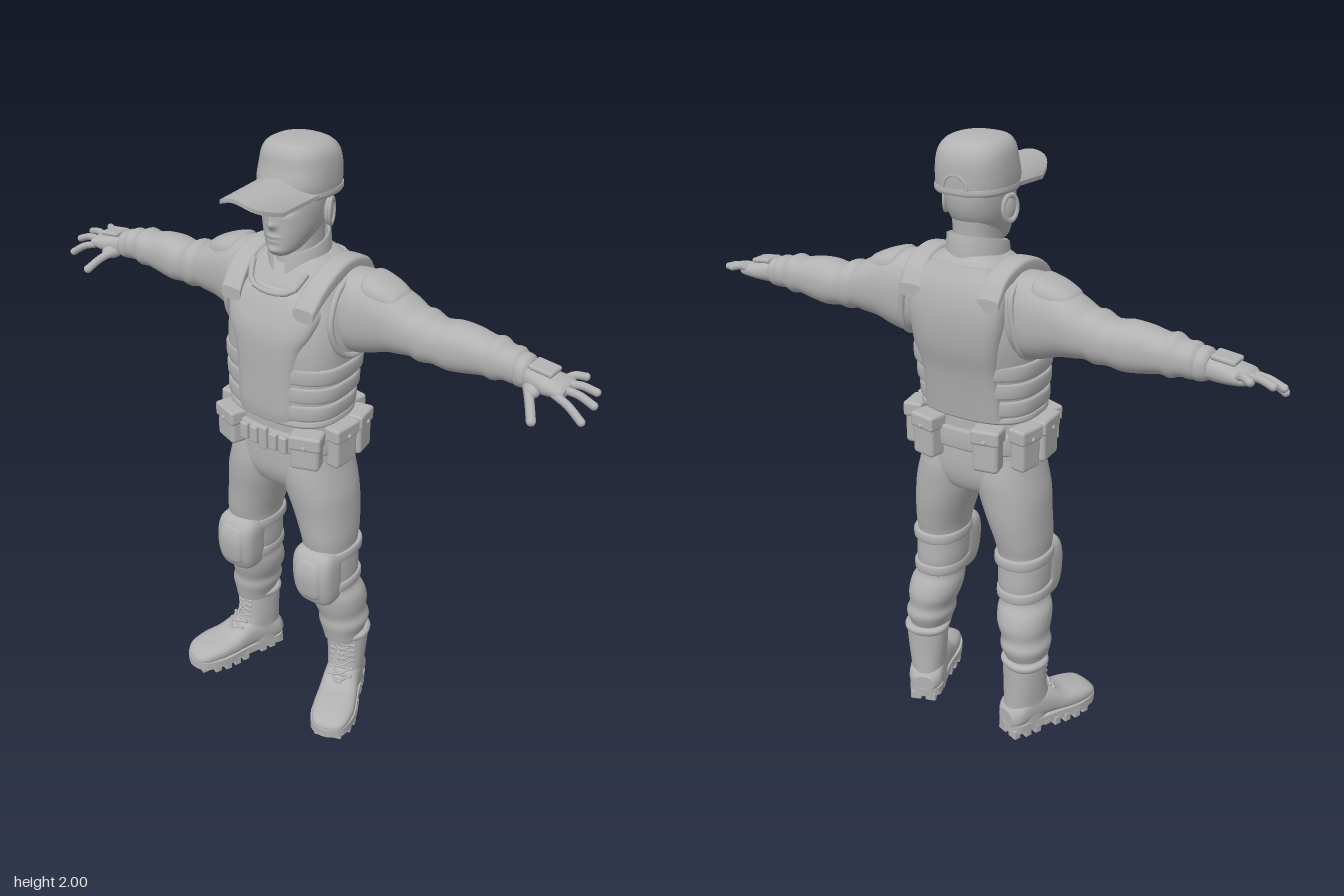
import * as THREE from 'three';
import { RoundedBoxGeometry } from 'three/addons/geometries/RoundedBoxGeometry.js';

const V = (x, y, z) => new THREE.Vector3(x, y, z);

export function createModel() {
  const grey = new THREE.MeshStandardMaterial({ color: 0xb2b2b2 });
  grey.name = 'plain grey';
  const model = new THREE.Group();
  model.name = 'figure';
  const side = new THREE.Group(); // everything on the left (+x) side, mirrored later
  side.name = 'leftSide';

  function add(parent, name, geo, x = 0, y = 0, z = 0, ry = 0) {
    const m = new THREE.Mesh(geo, grey);
    m.name = name;
    m.position.set(x, y, z);
    m.rotation.y = ry;
    parent.add(m);
    return m;
  }

  // Skin superellipse sections along an axis. Row: [t, centre, halfWidth, high, low].
  // Axis y: width in x, high/low in z. Axis x: width in z, high/low in y. Axis z: width in x, high/low in y.
  function loft(axis, rows, { p = 2.3, n = 36, steps = 4, post } = {}) {
    const pos = [], idx = [], total = (rows.length - 1) * steps + 1;
    const place = (t, u, v) => {
      const q = axis === 'y' ? V(u, t, v) : axis === 'x' ? V(t, v, u) : V(u, v, t);
      if (post) post(q);
      pos.push(q.x, q.y, q.z);
    };
    const tri = (a, b, c) => (axis === 'z' ? idx.push(a, c, b) : idx.push(a, b, c));
    const at = (i) => {
      const k = Math.min(Math.floor(i / steps), rows.length - 2), f = i / steps - k;
      const r = (d) => rows[Math.max(0, Math.min(rows.length - 1, k + d))];
      return rows[0].map((_, c) => {
        const [a, b, d, e] = [r(-1)[c], r(0)[c], r(1)[c], r(2)[c]];
        return b + 0.5 * f * (d - a + f * (2 * a - 5 * b + 4 * d - e + f * (3 * (b - d) + e - a)));
      });
    };
    const bend = (s) => Math.sign(s) * Math.abs(s) ** (2 / p);
    const ring = ([t, c, h, hi, lo]) => {
      for (let j = 0; j < n; j++) {
        const a = (j / n) * Math.PI * 2;
        place(t, c + h * bend(Math.cos(a)), (hi + lo) / 2 + ((hi - lo) / 2) * bend(Math.sin(a)));
      }
    };
    for (let i = 0; i < total; i++) ring(at(i));
    for (let i = 0; i < total - 1; i++) for (let j = 0; j < n; j++) {
      const a = i * n + j, b = i * n + (j + 1) % n;
      tri(a, a + n, b);
      tri(b, a + n, b + n);
    }
    [rows[0], rows[rows.length - 1]].forEach((r, end) => { // end caps with crisp rims
      const s = pos.length / 3;
      ring(r);
      place(r[0], r[1], (r[3] + r[4]) / 2);
      for (let j = 0; j < n; j++) {
        const k = s + (j + 1) % n;
        if (end) tri(s + n, k, s + j); else tri(s + n, s + j, k);
      }
    });
    const g = new THREE.BufferGeometry();
    g.setAttribute('position', new THREE.Float32BufferAttribute(pos, 3));
    g.setIndex(idx);
    g.computeVertexNormals();
    return g;
  }
  const tube = (pts, r, closed = false) =>
    new THREE.TubeGeometry(new THREE.CatmullRomCurve3(pts, closed), closed ? 40 : 10, r, 8, closed);
  const ball = (x, y, z) => new THREE.SphereGeometry(1, 12, 8).scale(x, y, z);
  const box = (w, h, d, r = 0.01) => new RoundedBoxGeometry(w, h, d, 2, r);

  // Head, with soft bumps shaping the face: [x, y, widthX, widthY, amount]
  const bumps = [[0.038, 1.815, 0.019, 0.011, -0.013], [0, 1.79, 0.011, 0.025, 0.012], [0, 1.768, 0.014, 0.011, 0.015],
    [0.03, 1.838, 0.028, 0.008, 0.006], [0, 1.732, 0.024, 0.005, 0.006], [0, 1.717, 0.02, 0.005, 0.005], [0, 1.69, 0.022, 0.01, 0.007]];
  add(model, 'head', loft('y', [[1.672, 0, 0.03, 0.055, -0.02], [1.69, 0, 0.05, 0.064, -0.06], [1.73, 0, 0.072, 0.066, -0.12],
    [1.77, 0, 0.086, 0.066, -0.155], [1.82, 0, 0.094, 0.066, -0.17], [1.88, 0, 0.096, 0.05, -0.17]], {
    p: 2.2, n: 88, steps: 9,
    post: (v) => {
      if (v.z > 0) for (const [x, y, sx, sy, k] of bumps)
        v.z += k * Math.exp(-(((Math.abs(v.x) - x) / sx) ** 2) - ((v.y - y) / sy) ** 2);
    },
  }));
  add(side, 'eye', ball(0.015, 0.008, 0.01), 0.038, 1.815, 0.045);
  add(side, 'ear', ball(0.013, 0.042, 0.026), 0.103, 1.795, -0.066, 0.35);
  add(side, 'earRim', new THREE.TorusGeometry(0.026, 0.006, 8, 24).scale(1, 1.45, 1), 0.112, 1.797, -0.068, Math.PI / 2 + 0.35);
  add(model, 'neck', loft('y', [[1.58, 0, 0.075, 0.02, -0.15], [1.66, 0, 0.066, 0.02, -0.145], [1.76, 0, 0.066, 0, -0.15]]));

  // Cap: crown, band, peak and rear strap
  add(model, 'capCrown', loft('y', [[1.845, 0, 0.112, 0.05, -0.187], [1.88, 0, 0.115, 0.062, -0.19], [1.93, 0, 0.112, 0.05, -0.188],
    [1.965, 0, 0.104, 0.043, -0.175], [1.988, 0, 0.085, 0.028, -0.148], [1.997, 0, 0.055, 0, -0.115], [2, 0, 0.012, -0.04, -0.07]], { p: 2.4, n: 56 }));
  add(model, 'capBand', loft('y', [[1.842, 0, 0.113, 0.052, -0.19], [1.85, 0, 0.117, 0.055, -0.193], [1.862, 0, 0.116, 0.056, -0.192]], { p: 2.4 }));
  const peak = new THREE.BoxGeometry(2, 0.012, 1, 24, 1, 16), pp = peak.attributes.position;
  for (let i = 0; i < pp.count; i++) {
    const u = pp.getX(i), v = pp.getZ(i) + 0.5;
    pp.setXYZ(i, u * (0.108 - 0.012 * v), 1.902 - 0.012 * v - 0.048 * u * u + pp.getY(i), -0.01 + v * (0.25 - 0.1 * u ** 4));
  }
  peak.computeVertexNormals();
  add(model, 'capPeak', peak);
  add(model, 'capRearArch', new THREE.TorusGeometry(0.04, 0.005, 8, 24, Math.PI), 0, 1.86, -0.186);

  // Shirt collar, open at the front and sloping forward
  const collar = new THREE.LatheGeometry([[0.1, 1.57], [0.094, 1.64], [0.09, 1.695], [0.082, 1.7], [0.078, 1.69], [0.08, 1.57], [0.1, 1.57]]
    .map(([x, y]) => new THREE.Vector2(x, y)), 48, 0.22, Math.PI * 2 - 0.44);
  const cp = collar.attributes.position;
  for (let i = 0; i < cp.count; i++) cp.setXYZ(i, cp.getX(i), cp.getY(i) - 0.32 * cp.getZ(i), cp.getZ(i) * 1.12 - 0.065);
  collar.computeVertexNormals();
  add(model, 'collar', collar);

  // Torso and body armour
  const body = [[1.15, 0, 0.19, 0.11, -0.172], [1.2, 0, 0.194, 0.116, -0.176], [1.3, 0, 0.203, 0.118, -0.195], [1.4, 0, 0.208, 0.12, -0.222],
    [1.48, 0, 0.2, 0.108, -0.23], [1.55, 0, 0.188, 0.075, -0.222], [1.6, 0, 0.172, 0.045, -0.205], [1.64, 0, 0.125, 0.02, -0.185], [1.665, 0, 0.08, 0, -0.165]];
  add(model, 'torso', loft('y', body, { p: 2.7, n: 64 }));
  add(model, 'vestFrontPanel', loft('y', [[1.16, 0, 0.105, 0.126, 0.03], [1.2, 0, 0.108, 0.131, 0.03], [1.3, 0, 0.108, 0.132, 0.03], [1.4, 0, 0.125, 0.133, 0.02],
    [1.46, 0, 0.152, 0.126, 0], [1.52, 0, 0.162, 0.105, -0.02], [1.565, 0, 0.125, 0.082, -0.03], [1.58, 0, 0.09, 0.068, -0.03]], { p: 3, n: 56 }));
  add(model, 'vestNeckTrim', tube([V(-0.1, 1.63, 0.03), V(-0.075, 1.58, 0.073), V(0, 1.566, 0.086), V(0.075, 1.58, 0.073), V(0.1, 1.63, 0.03)], 0.009));
  add(model, 'vestBackPanel', loft('y', [[1.16, 0, 0.14, -0.08, -0.185], [1.3, 0, 0.135, -0.1, -0.208], [1.4, 0, 0.15, -0.1, -0.234],
    [1.5, 0, 0.165, -0.1, -0.241], [1.58, 0, 0.155, -0.1, -0.226], [1.64, 0, 0.1, -0.1, -0.195]], { p: 3.2, n: 56 }));
  [1.2, 1.262, 1.324].forEach((y) => {
    const h = 0.197 + (y - 1.2) * 0.09, b = -0.178 - (y - 1.2) * 0.17;
    add(model, 'vestSideBand', loft('y', [[y - 0.026, 0, h, 0.117, b], [y - 0.018, 0, h + 0.007, 0.121, b - 0.004],
      [y + 0.018, 0, h + 0.009, 0.121, b - 0.004], [y + 0.026, 0, h + 0.003, 0.118, b]], { p: 2.7, n: 56, steps: 2 }));
  });
  add(model, 'vestHem', loft('y', [[1.148, 0, 0.193, 0.116, -0.176], [1.155, 0, 0.199, 0.122, -0.183], [1.168, 0, 0.197, 0.12, -0.182]], { p: 2.7 }));
  add(side, 'shoulderStrap', loft('z', [[-0.228, 0.135, 0.036, 1.57, 1.53], [-0.185, 0.14, 0.036, 1.632, 1.59], [-0.1, 0.145, 0.036, 1.66, 1.61],
    [-0.02, 0.147, 0.036, 1.65, 1.6], [0.05, 0.143, 0.036, 1.61, 1.56], [0.1, 0.135, 0.036, 1.55, 1.51]], { p: 4 }));
  add(side, 'armholeTrim', tube([V(0.183, 1.62, -0.1), V(0.19, 1.58, 0.005), V(0.197, 1.49, 0.045), V(0.207, 1.4, 0.01), V(0.211, 1.365, -0.07),
    V(0.208, 1.4, -0.16), V(0.195, 1.5, -0.19), V(0.186, 1.58, -0.18)], 0.01, true));

  // Sleeve with soft folds, and a pad on the shoulder
  add(side, 'sleeve', loft('x', [[0.13, -0.09, 0.08, 1.615, 1.41], [0.2, -0.095, 0.098, 1.632, 1.372], [0.26, -0.1, 0.096, 1.625, 1.38], [0.32, -0.102, 0.088, 1.605, 1.4],
    [0.37, -0.104, 0.085, 1.582, 1.408], [0.41, -0.104, 0.077, 1.56, 1.412], [0.44, -0.104, 0.078, 1.56, 1.404], [0.48, -0.106, 0.07, 1.543, 1.408], [0.53, -0.108, 0.072, 1.55, 1.402],
    [0.59, -0.11, 0.066, 1.547, 1.41], [0.64, -0.11, 0.062, 1.536, 1.42], [0.67, -0.11, 0.062, 1.542, 1.415], [0.7, -0.11, 0.054, 1.526, 1.425], [0.73, -0.11, 0.055, 1.527, 1.424],
    [0.75, -0.108, 0.042, 1.508, 1.432]]));
  add(side, 'shoulderPad', loft('x', [[0.235, -0.1, 0.055, 1.63, 1.53], [0.25, -0.1, 0.072, 1.635, 1.52], [0.3, -0.1, 0.07, 1.62, 1.52],
    [0.345, -0.1, 0.055, 1.6, 1.52], [0.36, -0.1, 0.035, 1.585, 1.52]], { p: 2.6 }));

  // Gloved hand
  add(side, 'gloveCuff', loft('x', [[0.735, -0.107, 0.045, 1.512, 1.428], [0.745, -0.107, 0.052, 1.518, 1.422], [0.765, -0.105, 0.05, 1.515, 1.424], [0.775, -0.104, 0.042, 1.505, 1.43]]));
  add(side, 'palm', loft('x', [[0.76, -0.104, 0.04, 1.502, 1.432], [0.8, -0.1, 0.046, 1.497, 1.428], [0.84, -0.098, 0.053, 1.49, 1.43], [0.88, -0.1, 0.055, 1.48, 1.438], [0.895, -0.1, 0.044, 1.47, 1.445]]));
  add(side, 'glovePlate', box(0.075, 0.016, 0.066, 0.007), 0.815, 1.499, -0.1).rotation.z = -0.12;
  [[0.87, 1.453, -0.056, 0.965, 1.408, -0.037], [0.88, 1.46, -0.085, 0.975, 1.44, -0.085],
    [0.875, 1.462, -0.113, 0.96, 1.457, -0.13], [0.86, 1.463, -0.138, 0.908, 1.472, -0.168], [0.785, 1.447, -0.065, 0.845, 1.392, 0.015]].forEach(([x, y, z, X, Y, Z], i) => {
    const r = i === 4 ? 0.014 : 0.012, mid = V((x + X) / 2, (y + Y) / 2 + 0.008, (z + Z) / 2);
    const name = i === 4 ? 'thumb' : 'finger';
    add(side, name, tube([V(x, y, z), mid, V(X, Y, Z)], r));
    add(side, name + 'Tip', ball(r, r, r), X, Y, Z);
  });
  add(side, 'thumbBase', ball(0.035, 0.022, 0.024), 0.8, 1.442, -0.062, -0.8);

  // Belt with buckle pieces and flapped pouches
  add(model, 'belt', loft('y', [[1.045, 0, 0.2, 0.108, -0.182], [1.052, 0, 0.206, 0.114, -0.187], [1.105, 0, 0.205, 0.114, -0.187], [1.112, 0, 0.199, 0.108, -0.182]], { p: 2.6, n: 56, steps: 2 }));
  for (let i = -2; i <= 2; i++) add(model, 'buckle', box(0.03, i ? 0.058 : 0.08, 0.02, 0.006), i * 0.038, 1.08, 0.116);
  [[0.148, 0.09, 0.095, 0.06, 0.35], [0.208, -0.012, 0.1, 0.05, 1.5], [0.2, -0.115, 0.085, 0.055, 1.75], [0.11, -0.187, 0.085, 0.06, 2.95]].forEach(([x, z, w, d, ry], i) => {
    const h = i ? 0.14 : 0.118;
    add(side, 'pouch', box(w, h, d, 0.013), x, 1.075, z, ry);
    add(side, 'pouchFlap', box(w + 0.01, 0.05, d + 0.01, 0.01), x, 1.052 + h / 2, z, ry);
    add(side, 'pouchStud', ball(0.008, 0.008, 0.006), x + Math.sin(ry) * (d / 2 + 0.005), 1.04 + h / 2, z + Math.cos(ry) * (d / 2 + 0.005), ry);
  });

  // Trousers
  add(model, 'hips', loft('y', [[0.87, 0, 0.04, 0.03, -0.11], [0.89, 0, 0.13, 0.07, -0.15], [0.94, 0, 0.2, 0.094, -0.17], [1.0, 0, 0.196, 0.1, -0.174], [1.08, 0, 0.19, 0.1, -0.17], [1.16, 0, 0.185, 0.1, -0.168]], { p: 2.5, n: 56 }));
  add(side, 'trouserLeg', loft('y', [[0.27, 0.197, 0.062, 0.0, -0.145], [0.3, 0.195, 0.068, 0.006, -0.158], [0.34, 0.192, 0.08, 0.014, -0.172], [0.375, 0.187, 0.075, 0.014, -0.164], [0.42, 0.18, 0.085, 0.028, -0.168],
    [0.465, 0.174, 0.086, 0.038, -0.155], [0.505, 0.166, 0.074, 0.045, -0.136], [0.56, 0.162, 0.08, 0.056, -0.142], [0.62, 0.161, 0.081, 0.064, -0.14], [0.67, 0.158, 0.08, 0.068, -0.14], [0.72, 0.154, 0.086, 0.076, -0.15],
    [0.8, 0.138, 0.097, 0.083, -0.164], [0.88, 0.12, 0.108, 0.094, -0.17], [0.95, 0.105, 0.105, 0.098, -0.172], [1.02, 0.1, 0.09, 0.09, -0.16]], { p: 2.15 }));
  add(side, 'kneePad', loft('y', [[0.472, 0.166, 0.035, 0.06, -0.01], [0.485, 0.166, 0.062, 0.082, -0.02], [0.53, 0.164, 0.074, 0.1, -0.02], [0.6, 0.162, 0.077, 0.108, -0.02],
    [0.65, 0.16, 0.075, 0.1, -0.02], [0.675, 0.16, 0.062, 0.086, -0.01], [0.685, 0.16, 0.04, 0.07, 0]], { p: 3 }));
  add(side, 'kneePadShell', loft('y', [[0.51, 0.165, 0.035, 0.098, 0.03], [0.53, 0.164, 0.05, 0.109, 0.03], [0.6, 0.162, 0.054, 0.117, 0.03], [0.645, 0.161, 0.048, 0.108, 0.03], [0.66, 0.161, 0.035, 0.098, 0.03]], { p: 3.4 }));
  [[0.53, 0.165, 0.079, -0.143], [0.655, 0.16, 0.083, -0.146]].forEach(([y, c, h, b]) =>
    add(side, 'kneeStrap', loft('y', [[y - 0.018, c, h, 0.06, b], [y - 0.012, c, h + 0.005, 0.064, b - 0.005], [y + 0.012, c, h + 0.005, 0.064, b - 0.005], [y + 0.018, c, h, 0.06, b]], { steps: 2 })));

  // Laced boot, turned outward
  const boot = new THREE.Group();
  boot.name = 'boot';
  boot.position.set(0.2, 0, -0.09);
  boot.rotation.y = 0.36;
  side.add(boot);
  add(boot, 'bootShaft', loft('y', [[0.05, 0, 0.06, 0.08, -0.08], [0.12, 0, 0.06, 0.086, -0.078], [0.18, 0, 0.065, 0.07, -0.076], [0.25, 0, 0.07, 0.064, -0.076], [0.29, 0, 0.072, 0.064, -0.076]]));
  add(boot, 'bootCuff', loft('y', [[0.268, 0, 0.071, 0.064, -0.076], [0.276, 0, 0.077, 0.069, -0.081], [0.288, 0, 0.077, 0.069, -0.081], [0.296, 0, 0.068, 0.06, -0.072]]));
  add(boot, 'bootFoot', loft('z', [[-0.086, 0, 0.035, 0.1, 0.04], [-0.06, 0, 0.058, 0.13, 0.035], [0, 0, 0.061, 0.165, 0.035], [0.07, 0, 0.063, 0.155, 0.035], [0.13, 0.003, 0.069, 0.118, 0.035],
    [0.19, 0.005, 0.072, 0.104, 0.035], [0.245, 0.005, 0.062, 0.09, 0.035], [0.272, 0.004, 0.042, 0.07, 0.04], [0.28, 0.004, 0.015, 0.058, 0.045]], { p: 2.5 }));
  const outline = new THREE.Shape(new THREE.SplineCurve([[0, -0.092], [0.052, -0.07], [0.06, 0], [0.066, 0.08], [0.08, 0.18], [0.06, 0.26], [0.004, 0.287],
    [-0.054, 0.26], [-0.073, 0.18], [-0.06, 0.08], [-0.058, 0], [-0.052, -0.07], [0, -0.092]].map(([x, y]) => new THREE.Vector2(x, y))).getPoints(48));
  add(boot, 'sole', new THREE.ExtrudeGeometry(outline, { depth: 0.03, bevelEnabled: false }).rotateX(Math.PI / 2), 0, 0.052);
  for (let i = 0; i < 9; i++) {
    const z = -0.07 + i * 0.04, w = [0.045, 0.055, 0.058, 0.06, 0.066, 0.072, 0.076, 0.07, 0.048][i];
    for (const s of [-1, 1]) add(boot, 'tread', box(w * 0.85, i === 3 ? 0.02 : 0.034, 0.026, 0.004), 0.004 + s * w * 0.58, i === 3 ? 0.026 : 0.017, z);
  }
  const front = (y) => (y < 0.18 ? 0.073 + (0.18 - y) * 0.75 : 0.068);
  for (let i = 0; i < 7; i++) for (const s of [-1, 1]) {
    const y = 0.115 + i * 0.022;
    add(boot, 'lace', tube([V(-s * 0.034, y, front(y) - 0.01), V(0, y + 0.012, front(y + 0.012) + 0.005), V(s * 0.034, y + 0.024, front(y + 0.024) - 0.01)], 0.0045));
    add(boot, 'eyelet', ball(0.007, 0.007, 0.007), s * 0.037, y, front(y) - 0.013);
  }

  // Mirror the left side into a right side, reversing the face order
  const right = new THREE.Group();
  right.name = 'rightSide';
  side.updateMatrixWorld(true);
  side.traverse((o) => {
    if (!o.isMesh) return;
    const g = o.geometry.clone().applyMatrix4(o.matrixWorld).scale(-1, 1, 1);
    const ids = g.index ? Array.from(g.index.array) : Array.from({ length: g.attributes.position.count }, (_, i) => i);
    for (let i = 0; i < ids.length; i += 3) [ids[i + 1], ids[i + 2]] = [ids[i + 2], ids[i + 1]];
    g.setIndex(ids);
    add(right, o.name, g);
  });
  model.add(side, right);
  return model;
}
